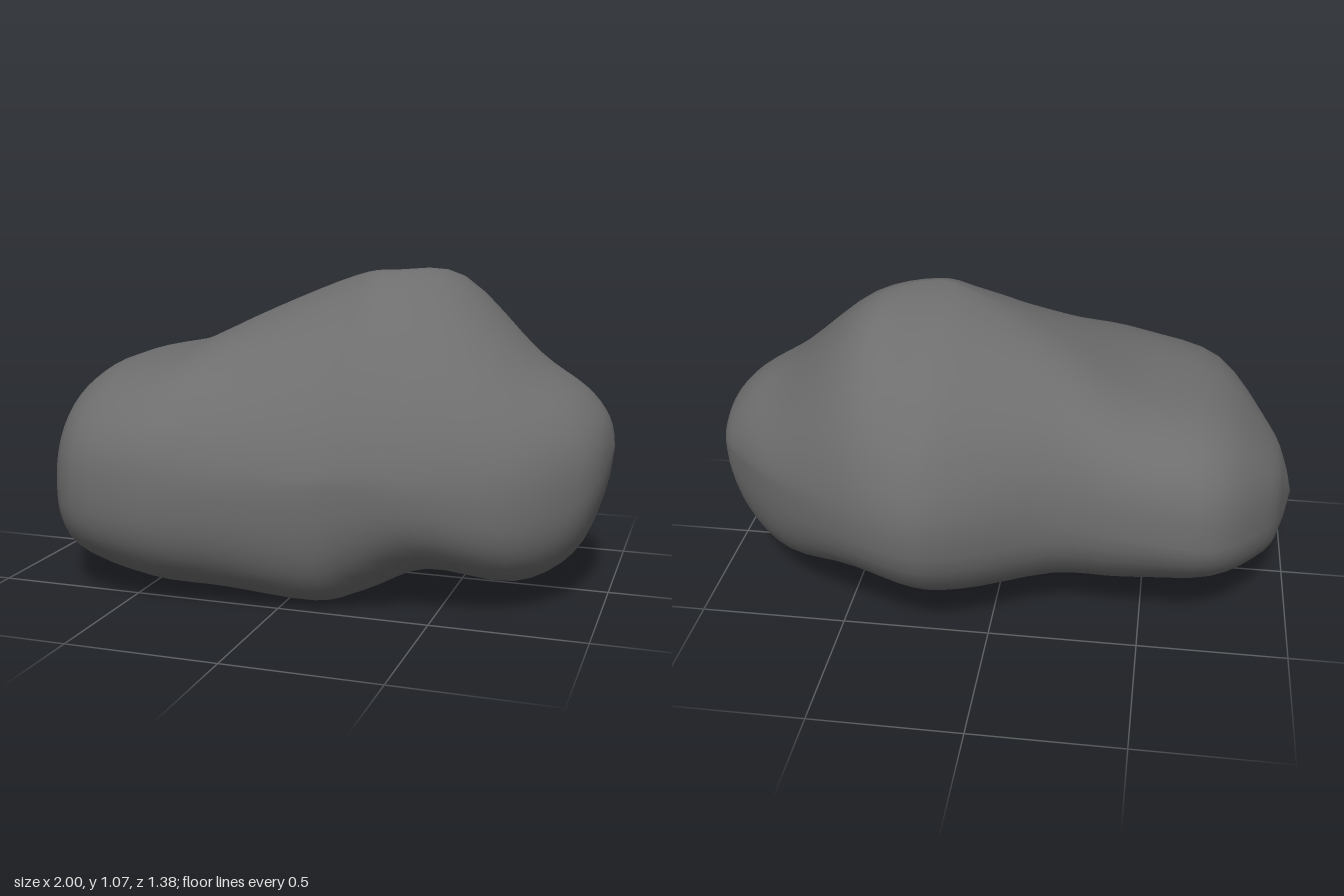
import * as THREE from 'three';
import { mergeVertices } from 'three/addons/utils/BufferGeometryUtils.js';

// Cross-sections along x:
// [x, bottom, top], [back z, front z, crest z], [lowest z, front bulge y, front shoulder power]
const sections = [
  [[-1, 0.33, 0.33], [0.02, 0.02, 0.02], [0.02, 0.33, 2]],
  [[-0.97, 0.2, 0.45], [-0.1, 0.1, 0], [0.02, 0.33, 2]],
  [[-0.91, 0.13, 0.57], [-0.27, 0.25, -0.02], [0.03, 0.34, 2.1]],
  [[-0.73, 0.07, 0.73], [-0.48, 0.59, -0.02], [0.12, 0.36, 2.4]],
  [[-0.45, 0.02, 0.8], [-0.52, 0.69, -0.04], [0.2, 0.38, 2.45]],
  [[-0.2, 0.015, 0.92], [-0.52, 0.66, -0.09], [0.27, 0.4, 1.9]],
  [[0.1, 0, 1.04], [-0.66, 0.61, -0.03], [0.32, 0.42, 1.55]],
  [[0.25, 0.03, 1.065], [-0.69, 0.585, 0], [0.22, 0.44, 1.5]],
  [[0.45, 0.1, 1.04], [-0.63, 0.55, -0.12], [0.08, 0.42, 1.65]],
  [[0.72, 0.06, 0.8], [-0.46, 0.45, -0.06], [0.02, 0.38, 2.05]],
  [[0.89, 0.15, 0.69], [-0.3, 0.3, -0.04], [0, 0.4, 2.2]],
  [[0.97, 0.33, 0.6], [-0.19, 0.16, -0.02], [0, 0.45, 2]],
  [[1, 0.5, 0.5], [-0.02, -0.02, -0.02], [-0.02, 0.5, 2]],
];

function rockGeometry(rings, sides) {
  // One smooth curve per column of section values
  const curves = [0, 1, 2].map((k) => new THREE.CatmullRomCurve3(
    sections.map((s) => new THREE.Vector3(...s[k])), false, 'catmullrom', 0.5));
  const positions = [];
  const indices = [];
  for (let i = 0; i <= rings; i++) {
    const [a, b, c] = curves.map((curve) => curve.getPoint(i / rings));
    // The back bulge rises gently from one end to the other
    const backY = 0.42 + 0.08 * a.x + 0.06 * (1 - a.x * a.x);
    // The back is square above the low lump and sloping behind the peak
    const blend = THREE.MathUtils.smoothstep(a.x, -0.6, 0.1);
    const backTop = THREE.MathUtils.lerp(2.8, 1.85, blend);
    const backBottom = THREE.MathUtils.lerp(1.9, 2.4, blend);
    for (let j = 0; j < sides; j++) {
      // Each quarter of the section is its own superellipse
      const angle = (j / sides) * Math.PI * 2;
      const cos = Math.cos(angle);
      const sin = Math.sin(angle);
      const power = cos >= 0 ? (sin >= 0 ? c.z : 2.5) : (sin >= 0 ? backTop : backBottom);
      const out = Math.abs(cos) ** (2 / power);
      const up = Math.abs(sin) ** (2 / power);
      const midZ = sin >= 0 ? b.z : c.x;
      const midY = cos >= 0 ? c.y : backY;
      positions.push(
        a.x,
        midY + ((sin >= 0 ? a.z : a.y) - midY) * up,
        midZ + ((cos >= 0 ? b.y : b.x) - midZ) * out,
      );
      if (i < rings) {
        const v0 = i * sides + j;
        const v1 = i * sides + (j + 1) % sides;
        indices.push(v0, v0 + sides, v1, v1, v0 + sides, v1 + sides);
      }
    }
  }
  const geometry = new THREE.BufferGeometry();
  geometry.setAttribute('position', new THREE.Float32BufferAttribute(positions, 3));
  geometry.setIndex(indices);
  // Weld the pointed ends so shading stays smooth
  const welded = mergeVertices(geometry, 1e-4);
  welded.computeVertexNormals();
  return welded;
}

export function createModel() {
  const group = new THREE.Group();
  group.name = 'boulder';
  const rock = new THREE.Mesh(
    rockGeometry(48, 48),
    new THREE.MeshStandardMaterial({ color: 0x6e6e6e }),
  );
  rock.name = 'rock';
  group.add(rock);
  return group;
}
